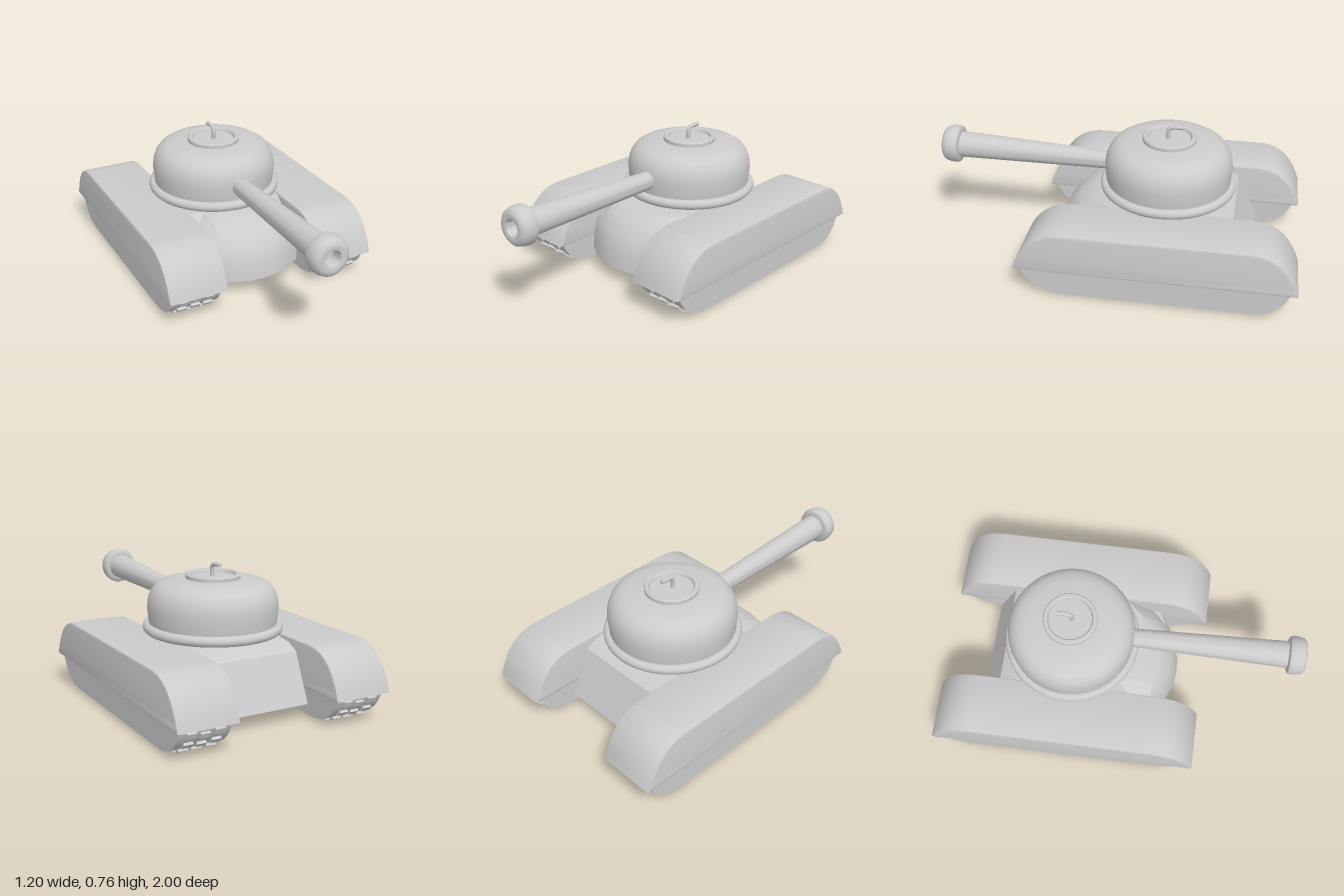
import * as THREE from 'three';
import { toCreasedNormals } from 'three/addons/utils/BufferGeometryUtils.js';

const grey = new THREE.MeshStandardMaterial({ color: 0xcccccc });
const TURRET_Z = -0.27;

function part(name, geometry, parent, crease = 0.6) {
  const mesh = new THREE.Mesh(crease ? toCreasedNormals(geometry, crease) : geometry, grey);
  mesh.name = name;
  parent.add(mesh);
  return mesh;
}

const lathe = (pts, segments = 48) =>
  new THREE.LatheGeometry(pts.map(([r, y]) => new THREE.Vector2(r, y)), segments);

// Side outline (z, y) pulled across x and centred on x = 0
function extrudeAcross(shape, width, bevel) {
  const g = new THREE.ExtrudeGeometry(shape, {
    depth: width - 2 * bevel, curveSegments: 14, bevelEnabled: bevel > 0,
    bevelSize: bevel, bevelThickness: bevel, bevelOffset: -bevel, bevelSegments: 2,
  });
  g.translate(0, 0, -(width - 2 * bevel) / 2);
  return g.rotateY(-Math.PI / 2);
}

// Hull: a side profile swept over x, with a bowed nose and chamfered front corners
function hullGeometry() {
  const profile = [
    [-0.76, 0.085], [-0.7, 0.215], [-0.645, 0.335], [-0.58, 0.368], [-0.45, 0.385], [0, 0.385],
    [0.12, 0.372], [0.22, 0.33], [0.285, 0.26], [0.32, 0.17], [0.33, 0.085],
  ];
  const xs = [-0.275, -0.19, -0.13, -0.065, 0, 0.065, 0.13, 0.19, 0.275];
  const n = profile.length, pos = [], idx = [];
  xs.forEach((x, i) => {
    const outer = i === 0 || i === xs.length - 1;
    for (const [z, y] of profile) {
      const bow = 0.1 * (Math.max(z, 0) / 0.33) * (x / 0.275) ** 2;
      pos.push(x, outer && z > 0.05 && y > 0.3 ? y - 0.06 : y, z - bow);
    }
  });
  for (let i = 0; i < xs.length - 1; i++) {
    for (let j = 0; j < n; j++) {
      const k = (j + 1) % n, a = i * n + j, d = i * n + k;
      idx.push(a, d, a + n, a + n, d, d + n);
    }
  }
  // Flat sides
  const c = pos.length / 3, last = (xs.length - 1) * n;
  pos.push(xs[0], 0.22, -0.2, -xs[0], 0.22, -0.2);
  for (let j = 0; j < n; j++) {
    const k = (j + 1) % n;
    idx.push(c, k, j, c + 1, last + j, last + k);
  }
  const g = new THREE.BufferGeometry();
  g.setAttribute('position', new THREE.Float32BufferAttribute(pos, 3));
  g.setIndex(idx);
  return g;
}

// Fender, track body and tread pads of one side
function trackUnit(name, x) {
  const unit = new THREE.Group();
  unit.name = name;
  unit.position.x = x;

  const cover = new THREE.Shape();
  cover.moveTo(-1, 0.165);
  cover.lineTo(0.47, 0.165);
  cover.quadraticCurveTo(0.4, 0.395, 0.2, 0.395);
  cover.lineTo(-0.75, 0.395);
  cover.quadraticCurveTo(-0.93, 0.395, -1, 0.165);
  part('fender', extrudeAcross(cover, 0.325, 0.01), unit);

  const belt = new THREE.Shape();
  belt.moveTo(0.44, 0.17);
  belt.quadraticCurveTo(0.39, 0.015, 0.2, 0.015);
  belt.lineTo(-0.76, 0.015);
  belt.quadraticCurveTo(-0.92, 0.015, -0.97, 0.17);
  const path = new THREE.CurvePath();
  path.curves = belt.curves.slice();
  belt.closePath();
  part('trackBody', extrudeAcross(belt, 0.275, 0), unit);

  // Three columns of pads, the middle one slightly ahead
  const pads = new THREE.Group();
  pads.name = 'treadPads';
  unit.add(pads);
  const padGeometry = new THREE.BoxGeometry(0.05, 0.028, 0.027);
  const length = path.getLength(), count = Math.round(length / 0.067);
  for (let i = 0; i < count; i++) {
    for (const col of [-1, 0, 1]) {
      const s = (i + 0.5) / count - (col === 0 ? 0.012 / length : 0);
      const p = path.getPointAt(s), q = path.getPointAt(s + 0.003);
      const pad = part('treadPad', padGeometry, pads, 0);
      pad.position.set(col * 0.073, p.y, p.x);
      pad.rotation.x = -Math.atan2(q.y - p.y, q.x - p.x);
    }
  }
  return unit;
}

export function createModel() {
  const model = new THREE.Group();
  model.name = 'tank';

  part('hull', hullGeometry(), model);
  model.add(trackUnit('leftTrack', 0.4375), trackUnit('rightTrack', -0.4375));

  // Turret with base ring
  const turret = new THREE.Group();
  turret.name = 'turret';
  turret.position.z = TURRET_Z;
  model.add(turret);
  part('turretBody', lathe([
    [0, 0.397], [0.335, 0.397], [0.341, 0.46], [0.347, 0.53], [0.342, 0.575], [0.328, 0.613],
    [0.305, 0.643], [0.275, 0.662], [0.23, 0.673], [0.14, 0.68], [0, 0.682],
  ]), turret);
  const ring = new THREE.TorusGeometry(0.345, 0.027, 12, 56).rotateX(Math.PI / 2);
  part('turretRing', ring, turret, 0).position.y = 0.423;

  // Hatch with raised rim and bent handle
  part('hatch', lathe([
    [0.145, 0.67], [0.145, 0.697], [0.138, 0.705], [0.124, 0.705], [0.117, 0.698], [0.115, 0.688], [0, 0.688],
  ]), turret);
  const bend = new THREE.CatmullRomCurve3([
    [0.68, 0.008], [0.725, 0.008], [0.746, 0.001], [0.753, -0.02], [0.754, -0.07],
  ].map(([y, z]) => new THREE.Vector3(0, y, z)));
  part('hatchHandle', new THREE.TubeGeometry(bend, 20, 0.012, 10), turret, 0);
  const tip = new THREE.CircleGeometry(0.012, 10).rotateY(Math.PI);
  part('handleTip', tip, turret, 0).position.set(0, 0.754, -0.07);

  // Gun: flaring barrel and a hollow muzzle, tilted slightly up
  const gun = new THREE.Group();
  gun.name = 'gun';
  gun.position.set(0, 0.523, 0);
  gun.rotation.x = -0.027;
  model.add(gun);
  part('barrel', lathe([[0.048, 0], [0.073, 0.92]], 32).rotateX(Math.PI / 2), gun);
  part('muzzle', lathe([
    [0.07, 0.9], [0.088, 0.9], [0.1, 0.908], [0.105, 0.925], [0.103, 0.955], [0.095, 0.982],
    [0.08, 0.995], [0.062, 0.998], [0.045, 0.994], [0.041, 0.985], [0.039, 0.93], [0, 0.925],
  ], 32).rotateX(Math.PI / 2), gun);

  return model;
}
